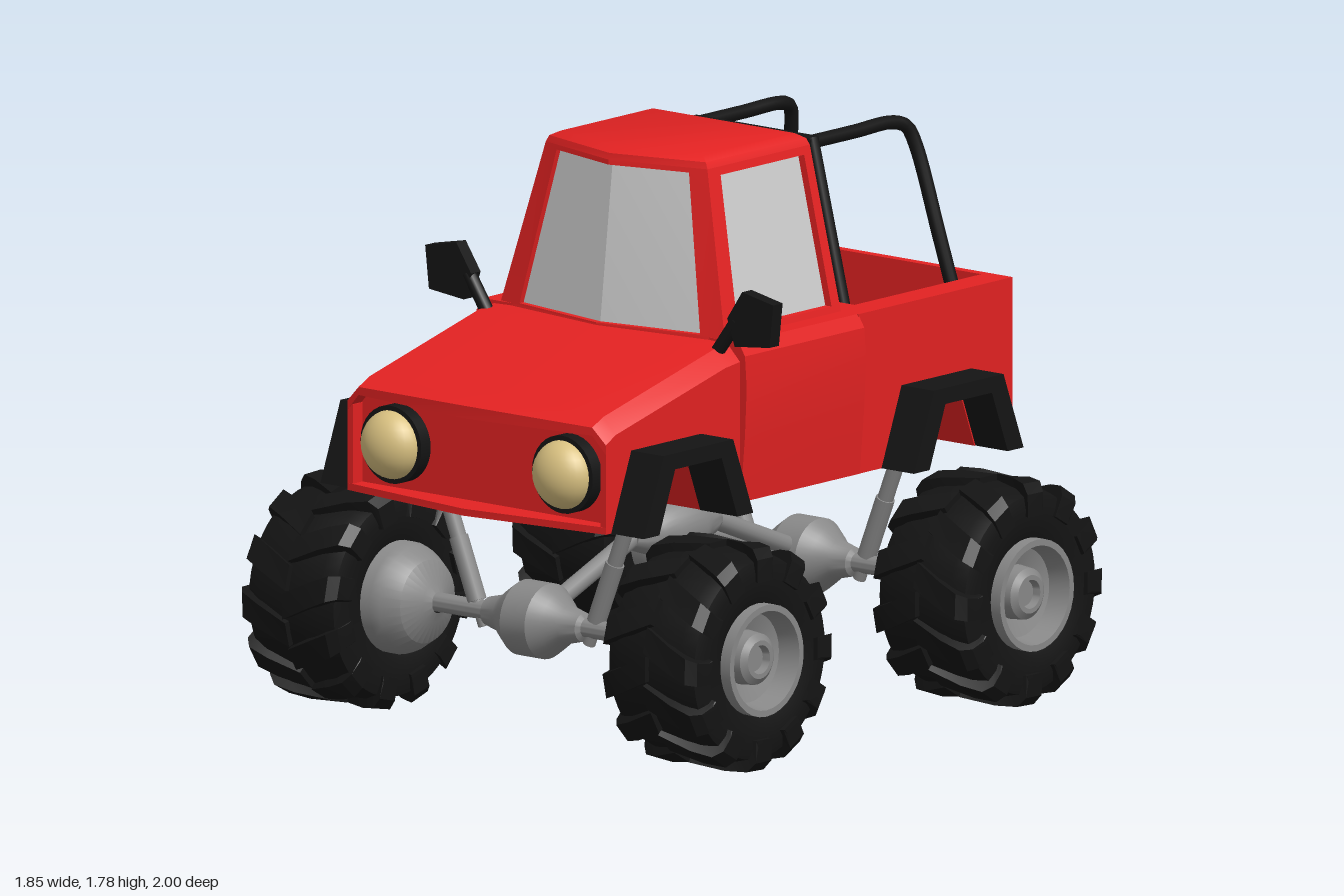
import * as THREE from 'three';
import { toCreasedNormals } from 'three/addons/utils/BufferGeometryUtils.js';

const mat = (color, side = THREE.FrontSide) => new THREE.MeshStandardMaterial({ color, side });
const RED = mat(0xe32222), RED2 = mat(0xe32222, THREE.DoubleSide), BLACK = mat(0x141414);
const METAL = mat(0x888888), GLASS = mat(0xcccccc, THREE.DoubleSide), LAMP = mat(0xd8c080);

const V = (x, y, z) => new THREE.Vector3(x, y, z);

function add(parent, name, geometry, material) {
  const m = new THREE.Mesh(geometry, material);
  m.name = name;
  parent.add(m);
  return m;
}

// Geometry from quads (four corners each), creased at sharp edges
function fromQuads(quads, crease = 0.5) {
  const pos = [];
  for (const [a, b, c, d] of quads) for (const p of [a, b, c, a, c, d]) pos.push(p.x, p.y, p.z);
  const g = new THREE.BufferGeometry();
  g.setAttribute('position', new THREE.Float32BufferAttribute(pos, 3));
  return toCreasedNormals(g, crease);
}

// Solid through closed rings with an even number of points, capped by strips
function loft(rings, crease) {
  const n = rings[0].length, quads = [];
  for (let r = 0; r + 1 < rings.length; r++) {
    for (let i = 0; i < n; i++) {
      const j = (i + 1) % n;
      quads.push([rings[r][i], rings[r][j], rings[r + 1][j], rings[r + 1][i]]);
    }
  }
  const first = rings[0], last = rings[rings.length - 1];
  for (let i = 0; i < n / 2 - 1; i++) {
    quads.push([first[i], first[n - 1 - i], first[n - 2 - i], first[i + 1]]);
    quads.push([last[i], last[i + 1], last[n - 2 - i], last[n - 1 - i]]);
  }
  // turn the faces outward
  let volume = 0;
  for (const [a, b, c, d] of quads) {
    volume += a.dot(b.clone().cross(c)) + a.dot(c.clone().cross(d));
  }
  return fromQuads(volume < 0 ? quads.map(q => q.slice().reverse()) : quads, crease);
}

// Side outline of [z, y] points extruded from x0 to x1
function extrudeX(points, x0, x1) {
  const shape = new THREE.Shape(points.map(p => new THREE.Vector2(...p)));
  const g = new THREE.ExtrudeGeometry(shape, { depth: x1 - x0, bevelEnabled: false });
  return g.rotateY(-Math.PI / 2).translate(x1, 0, 0);
}

// Profile of [radius, distance along x]
function latheX(points, segments = 32) {
  const g = new THREE.LatheGeometry(points.map(p => new THREE.Vector2(...p)), segments);
  return toCreasedNormals(g.rotateZ(-Math.PI / 2), 0.6);
}

function rod(parent, name, a, b, r, material) {
  const m = add(parent, name, new THREE.CylinderGeometry(r, r, a.distanceTo(b), 14), material);
  m.position.copy(a).lerp(b, 0.5);
  m.quaternion.setFromUnitVectors(V(0, 1, 0), b.clone().sub(a).normalize());
}

// Panel on four corners (a-b bottom, d-c top) with a recessed pane
function windowPanel(parent, name, [a, b, c, d], [u0, u1, v0, v1], push) {
  const at = (u, v) => a.clone().lerp(b, u).lerp(d.clone().lerp(c, u), v);
  const outer = [a, b, c, d], inner = [at(u0, v0), at(u1, v0), at(u1, v1), at(u0, v1)];
  const pane = inner.map(p => p.clone().add(push)), quads = [];
  for (let i = 0; i < 4; i++) {
    if (i === 1 && u1 === 1) continue;
    const j = (i + 1) % 4;
    quads.push([outer[i], outer[j], inner[j], inner[i]], [inner[i], inner[j], pane[j], pane[i]]);
  }
  add(parent, name + 'Frame', fromQuads(quads), RED2);
  add(parent, name + 'Glass', fromQuads([pane]), GLASS);
}

function wheel(side) {
  const g = new THREE.Group();
  g.name = 'wheel';
  const half = [[0.17, 0.16], [0.2, 0.172], [0.27, 0.18], [0.31, 0.17], [0.325, 0.12]];
  const tyre = [...half.map(([r, a]) => [r, -a]), [0.33, 0], ...half.slice().reverse()];
  add(g, 'tyre', latheX(tyre, 48), BLACK);
  // chevron lugs: stations of [distance from middle, sweep angle, radius]
  const stations = [[-0.005, 0, 0.35], [0.1, 0.14, 0.355], [0.165, 0.22, 0.35], [0.19, 0.25, 0.32], [0.193, 0.26, 0.27]];
  for (const s of [-1, 1]) {
    const rings = stations.map(([a, t, r]) =>
      [[-0.14, 0.25], [-0.115, r], [0.115, r], [0.14, 0.25]].map(([da, rr]) =>
        V(s * a, rr * Math.cos(t + da), rr * Math.sin(t + da))));
    const lug = loft(rings, 0.3);
    for (let i = 0; i < 12; i++) {
      add(g, 'treadLug', lug, BLACK).rotation.x = (i + (s > 0 ? 0.5 : 0)) * Math.PI / 6;
    }
  }
  // rim with hub outside and bell-shaped housing inside
  add(g, 'rim', latheX([[0.03, -0.33], [0.06, -0.315], [0.13, -0.285], [0.165, -0.23], [0.175, -0.2],
    [0.175, 0.2], [0.155, 0.2], [0.14, 0.13], [0.085, 0.11], [0.08, 0.16], [0.06, 0.175],
    [0.045, 0.175], [0.04, 0.15], [0, 0.15]]), METAL);
  if (side < 0) g.rotation.y = Math.PI;
  return g;
}

export function createModel() {
  const model = new THREE.Group();
  model.name = 'monsterTruck';

  // Lower body with wheel arches cut right through
  const notch = c => [[c - 0.185, 0.74], [c - 0.11, 0.935], [c + 0.11, 0.935], [c + 0.185, 0.74]];
  add(model, 'lowerBody', extrudeX([[-1, 0.74], ...notch(-0.635), ...notch(0.635), [0.88, 0.74],
    [0.88, 1.0], [-1, 1.0]], -0.52, 0.52), RED);

  // Hood with chamfered edges and a pointed overhanging nose
  const hoodRing = (z, k, t, b) => {
    const top = [[-0.52, t - 0.05], [-0.47, t], [0, t + 0.015], [0.47, t], [0.52, t - 0.05]];
    const bottom = [[0.52, 0.99], [0.47, b], [0, b], [-0.47, b], [-0.52, 0.99]];
    return [...top, ...bottom].map(([x, y]) => V(x, y, z - k * Math.abs(x)));
  };
  add(model, 'hood', loft([hoodRing(0.25, 0, 1.235, 0.99), hoodRing(0.36, 0, 1.222, 0.99),
    hoodRing(0.88, 0, 1.095, 0.99), hoodRing(0.88, 0, 1.095, 1.045), hoodRing(0.99, 0.125, 1.07, 1.045)], 0.4), RED);
  const lip = y => [[-0.52, 0.87], [-0.52, 0.925], [0, 0.99], [0.52, 0.925], [0.52, 0.87], [0, 0.87]]
    .map(([x, z]) => V(x, y, z));
  add(model, 'frontLip', loft([lip(0.74), lip(0.762)]), RED);

  // Doors section, slightly wider than the rest
  const doorRing = (w, y) => [V(-w, y, 0.29), V(w, y, 0.29), V(w, y, -0.275), V(-w, y, -0.275)];
  add(model, 'doors', loft([doorRing(0.522, 0.74), doorRing(0.54, 0.95), doorRing(0.547, 1.1),
    doorRing(0.54, 1.2), doorRing(0.515, 1.24)], 0.4), RED);

  // Cab: skirt, framed windows, rear wall and roof
  const cabRing = (w, y, corner, mid, back) => [V(-w, y, corner), V(0, y, mid), V(w, y, corner),
    V(w, y, back), V(0, y, back), V(-w, y, back)];
  const base = cabRing(0.45, 1.24, 0.28, 0.36, -0.27), top = cabRing(0.325, 1.745, 0.215, 0.3, -0.27);
  add(model, 'cabSkirt', loft([cabRing(0.47, 1.17, 0.29, 0.37, -0.27), base]), RED);
  add(model, 'roof', loft([top, cabRing(0.315, 1.765, 0.21, 0.295, -0.265),
    cabRing(0.285, 1.78, 0.19, 0.265, -0.245)], 0.7), RED);
  add(model, 'cabRear', fromQuads([[base[3], base[5], top[5], top[3]]]), RED2);
  for (const [f, b, s] of [[0, 5, -1], [2, 3, 1]]) {
    windowPanel(model, 'windshield', [base[f], base[1], top[1], top[f]], [0.19, 1, 0.01, 0.97], V(0, 0, -0.02));
    windowPanel(model, 'sideWindow', [base[f], base[b], top[b], top[f]], [0.12, 0.93, 0.04, 0.95], V(-s * 0.025, 0, 0));
  }

  // Cargo bed walls
  const rect = (C, x, z0, z1) => new C([[-x, z0], [x, z0], [x, z1], [-x, z1]].map(p => new THREE.Vector2(...p)));
  const bed = rect(THREE.Shape, 0.52, 0.27, 1.0);
  bed.holes.push(rect(THREE.Path, 0.42, 0.37, 0.97));
  add(model, 'bedWalls', new THREE.ExtrudeGeometry(bed, { depth: 0.25, bevelEnabled: false })
    .rotateX(-Math.PI / 2).translate(0, 0.99, 0), RED);

  // Roll bar cross piece
  rod(model, 'rollBarTop', V(-0.24, 1.72, -0.395), V(0.24, 1.72, -0.395), 0.022, BLACK);

  for (const s of [-1, 1]) {
    // Nose side walls and headlights
    add(model, 'noseSide', new THREE.BoxGeometry(0.022, 0.27, 0.055), RED).position.set(s * 0.509, 0.875, 0.8975);
    add(model, 'headlightRing', new THREE.CylinderGeometry(0.122, 0.122, 0.05, 32).rotateX(Math.PI / 2), BLACK)
      .position.set(s * 0.345, 0.905, 0.9);
    const lamp = add(model, 'headlight', new THREE.SphereGeometry(0.108, 32, 16), LAMP);
    lamp.position.set(s * 0.345, 0.905, 0.915);
    lamp.scale.z = 0.8;

    // Roll bar legs
    rod(model, 'rollBarPost', V(s * 0.41, 1.0, -0.395), V(s * 0.225, 1.735, -0.395), 0.022, BLACK);
    const path = new THREE.CatmullRomCurve3([V(s * 0.225, 1.72, -0.385), V(s * 0.225, 1.72, -0.6),
      V(s * 0.225, 1.72, -0.78), V(s * 0.235, 1.7, -0.835), V(s * 0.25, 1.64, -0.86),
      V(s * 0.32, 1.35, -0.893), V(s * 0.405, 1.0, -0.93)]);
    add(model, 'rollBarLeg', new THREE.TubeGeometry(path, 48, 0.022, 12), BLACK);

    // Mirrors
    const outline = [[0.7, 1.39], [0.575, 1.415], [0.515, 1.325], [0.545, 1.24], [0.685, 1.255]];
    const mirror = new THREE.Shape(outline.map(([x, y]) => new THREE.Vector2(s * x, y)));
    add(model, 'mirror', new THREE.ExtrudeGeometry(mirror, { depth: 0.045, bevelEnabled: false }), BLACK).position.z = 0.3;
    rod(model, 'mirrorStem', V(s * 0.455, 1.2, 0.33), V(s * 0.54, 1.32, 0.325), 0.022, BLACK);

    for (const e of [-1, 1]) {
      // Fender flare
      const c = e * 0.64;
      const flare = [[c - 0.26, 0.74], [c - 0.165, 0.985], [c + 0.165, 0.985], [c + 0.26, 0.74],
        [c + 0.185, 0.74], [c + 0.11, 0.935], [c - 0.11, 0.935], [c - 0.185, 0.74]];
      add(model, 'fenderFlare', s > 0 ? extrudeX(flare, 0.5, 0.65) : extrudeX(flare, -0.65, -0.5), BLACK);

      // Wheel and shock absorber
      const w = wheel(s);
      w.position.set(s * 0.725, 0.355, c);
      model.add(w);
      const low = V(s * 0.21, 0.31, c), high = V(s * 0.46, 0.945, c);
      const along = t => low.clone().lerp(high, t);
      rod(model, 'shockLower', low, along(0.5), 0.02, METAL);
      rod(model, 'shockSleeve', along(0.12), along(0.42), 0.03, METAL);
      rod(model, 'shockUpper', along(0.42), high, 0.025, METAL);
    }
  }

  // Axles with differentials and drive shafts
  const bulb = [[0.03, 0.42], [0.03, 0.2], [0.045, 0.19], [0.06, 0.13], [0.09, 0.09], [0.118, 0.05]];
  const axle = latheX([...bulb.map(([r, a]) => [r, -a]), ...bulb.slice().reverse()]);
  for (const e of [-1, 1]) {
    add(model, 'axle', axle, METAL).position.set(0, 0.36, e * 0.64);
    rod(model, 'driveShaft', V(0, 0.55, e * 0.17), V(0, 0.38, e * 0.6), 0.03, METAL);
  }
  // Central gearbox
  const box = [[0, 0.2], [0.035, 0.2], [0.05, 0.17], [0.07, 0.11], [0.095, 0.06]];
  add(model, 'gearbox', latheX([...box.map(([r, a]) => [r, -a]), ...box.slice().reverse()])
    .rotateY(Math.PI / 2), METAL).position.y = 0.545;

  return model;
}
